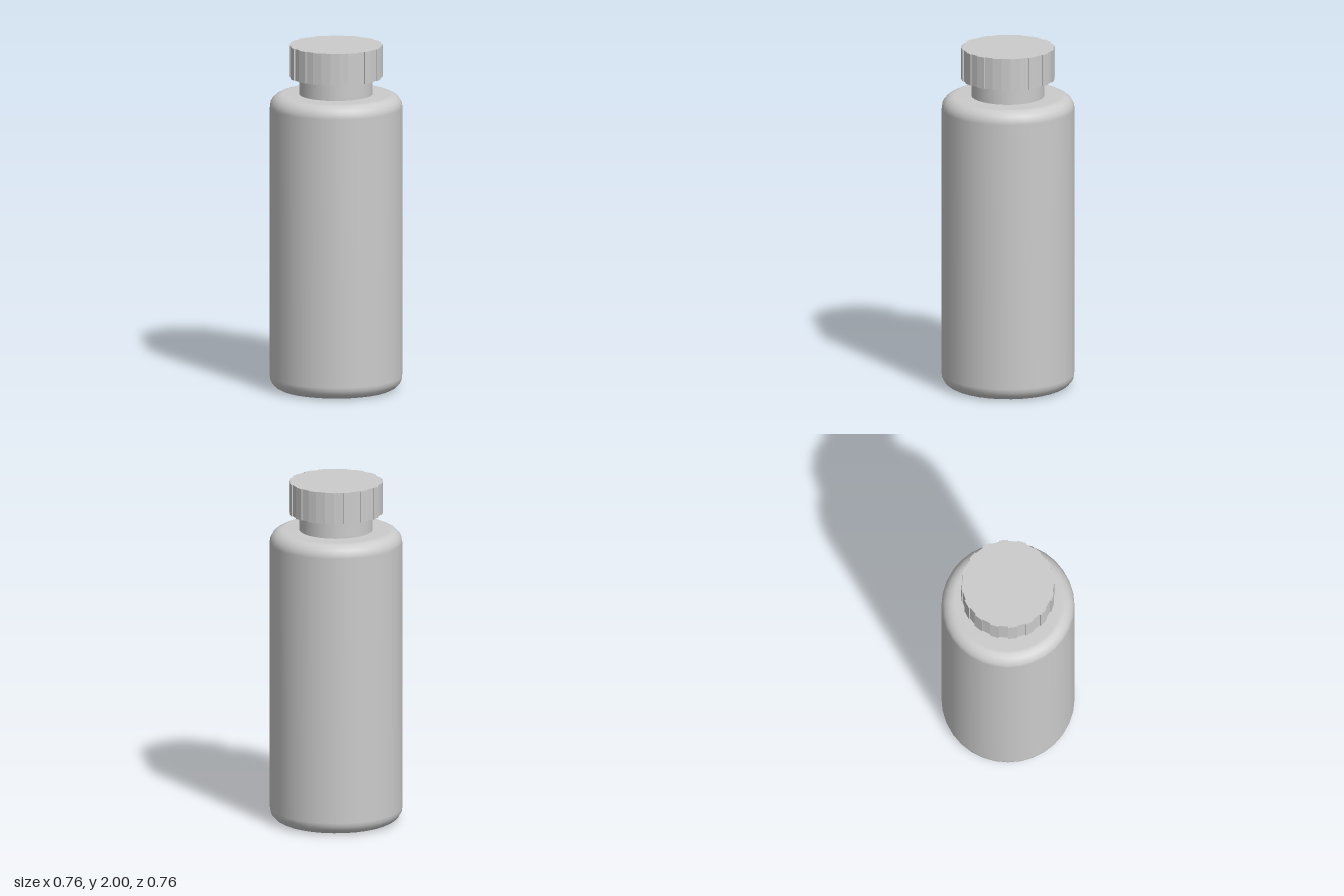
import * as THREE from 'three';

const SIDES = 32;
const material = new THREE.MeshStandardMaterial({ color: 0xcccccc });

function addPart(group, name, geometry) {
  const mesh = new THREE.Mesh(geometry, material);
  mesh.name = name;
  group.add(mesh);
  return mesh;
}

// Closed cylinder profile with rounded bottom and top edges
function roundedProfile(radius, height, corner, steps = 5) {
  const points = [new THREE.Vector2(0, 0)];
  const arc = (cy, start) => {
    for (let i = 0; i <= steps; i++) {
      const a = start + (i / steps) * Math.PI / 2;
      points.push(new THREE.Vector2(radius - corner + corner * Math.cos(a), cy + corner * Math.sin(a)));
    }
  };
  arc(corner, -Math.PI / 2);
  arc(height - corner, 0);
  points.push(new THREE.Vector2(0, height));
  return points;
}

// Outline whose flat panels alternate between a raised and a sunken radius
function ribbedOutline(outer, inner) {
  const points = [];
  for (let i = 0; i < SIDES; i++) {
    const r = i % 2 === 0 ? outer : inner;
    for (const k of [i, i + 1]) {
      const a = (k / SIDES) * Math.PI * 2;
      points.push(new THREE.Vector2(r * Math.sin(a), r * Math.cos(a)));
    }
  }
  return new THREE.Shape(points);
}

export function createModel() {
  const bottle = new THREE.Group();
  bottle.name = 'bottle';

  // Body with soft shoulder and base
  addPart(bottle, 'body', new THREE.LatheGeometry(roundedProfile(0.38, 1.715, 0.075), SIDES));

  // Neck between shoulder and cap
  const neck = addPart(bottle, 'neck', new THREE.CylinderGeometry(0.21, 0.21, 0.14, SIDES, 1, true));
  neck.position.y = 1.77;

  // Ribbed screw cap
  const capGeometry = new THREE.ExtrudeGeometry(ribbedOutline(0.268, 0.261), {
    depth: 0.185,
    bevelEnabled: false,
  });
  capGeometry.rotateX(-Math.PI / 2);
  addPart(bottle, 'cap', capGeometry).position.y = 1.815;

  return bottle;
}
